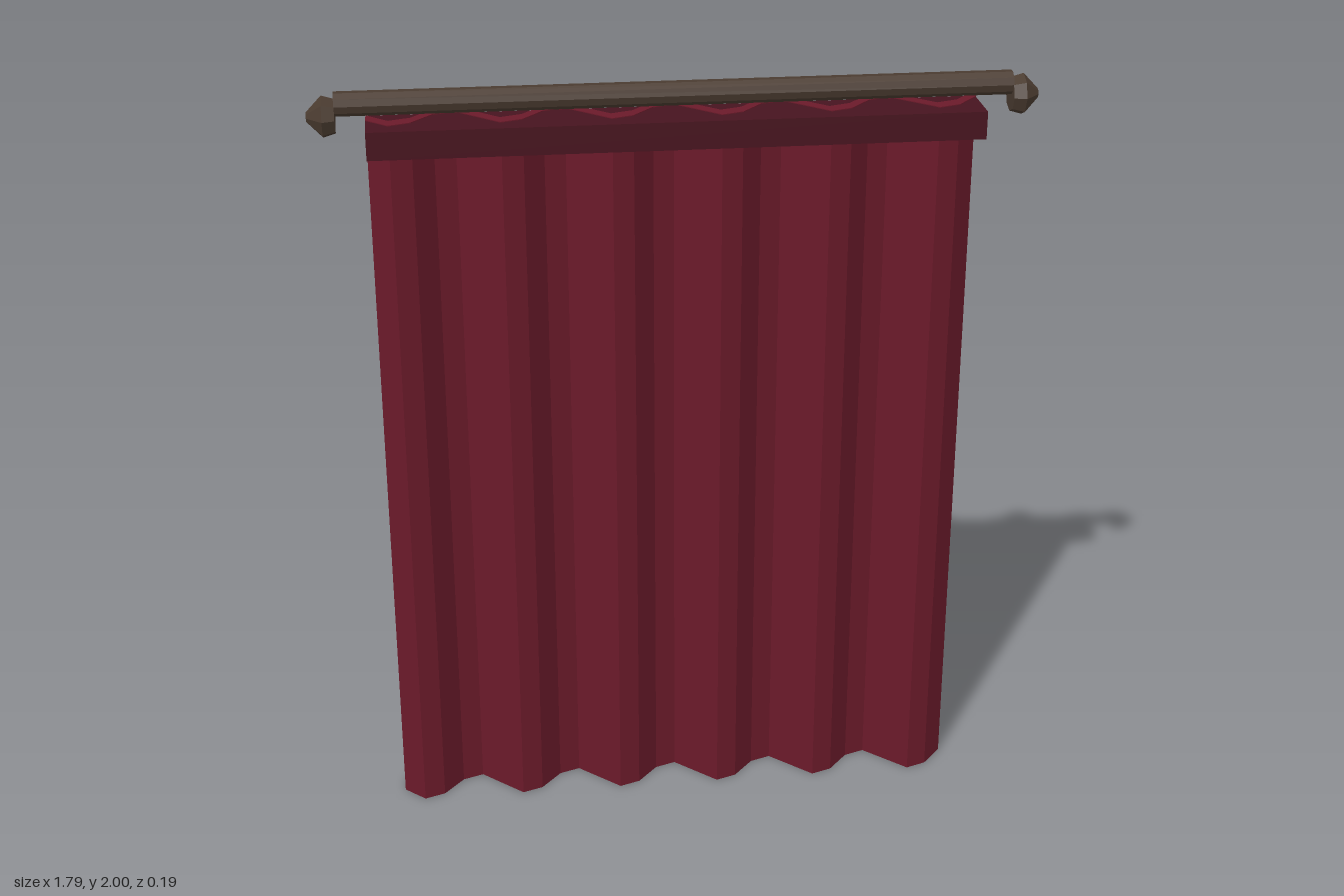
import * as THREE from 'three';

const mat = (color) => new THREE.MeshStandardMaterial({ color, flatShading: true });

export function createModel() {
  const group = new THREE.Group();
  const fabric = mat(0x6b1a2a), headerFabric = mat(0x47141f), wood = mat(0x4a3b30);

  const add = (name, geometry, material, x = 0, y = 0, z = 0) => {
    const mesh = new THREE.Mesh(geometry, material);
    mesh.name = name;
    mesh.position.set(x, y, z);
    group.add(mesh);
    return mesh;
  };

  // Pleated sheet: a thick wave, five segments per fold, extruded upwards
  const segments = 28, width = 1.51, thickness = 0.04, amplitude = 0.054, midZ = -0.0235;
  const front = [], back = [];
  for (let i = 0; i <= segments; i++) {
    const x = -width / 2 + (i * width) / segments;
    const z = midZ + amplitude * Math.sin((i * Math.PI * 2) / 5);
    front.push(new THREE.Vector2(x, -(z + thickness / 2)));
    back.unshift(new THREE.Vector2(x, -(z - thickness / 2)));
  }
  const sheet = new THREE.ExtrudeGeometry(new THREE.Shape([...front, ...back]), {
    depth: 1.919, bevelEnabled: false,
  });
  sheet.rotateX(-Math.PI / 2);
  add('curtain', sheet, fabric);

  // Header band across the top of the folds
  add('header', new THREE.BoxGeometry(width, 0.07, 0.14), headerFabric, 0, 1.882, 0.0235);

  // Rod
  const rod = new THREE.CylinderGeometry(0.03, 0.03, 1.654, 10);
  rod.rotateZ(Math.PI / 2);
  add('rod', rod, wood, 0, 1.97, 0.025);

  // Faceted finials, pointed at the outer end
  const profile = [[0, 0], [0.043, 0], [0.052, 0.03], [0.012, 0.068], [0, 0.068]]
    .map(([r, h]) => new THREE.Vector2(r, h));
  for (const side of [1, -1]) {
    const finial = add(side > 0 ? 'leftFinial' : 'rightFinial',
      new THREE.LatheGeometry(profile, 8), wood, side * 0.826, 1.94, 0.025);
    finial.rotation.z = -side * Math.PI / 2;
  }

  return group;
}
